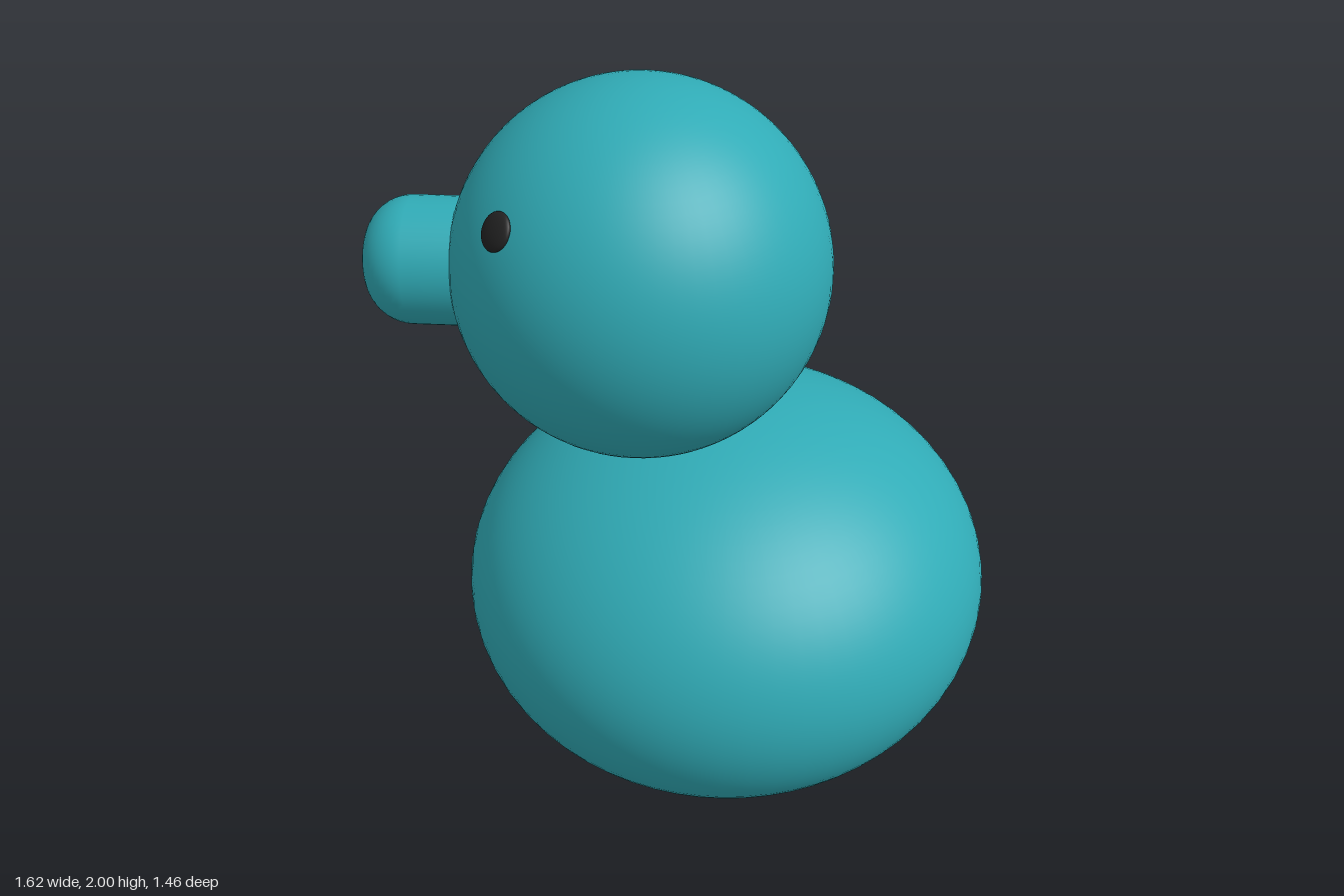
import * as THREE from 'three';

const teal = new THREE.MeshStandardMaterial({ color: 0x30abb6 });
const black = new THREE.MeshStandardMaterial({ color: 0x222222 });
const red = new THREE.MeshStandardMaterial({ color: 0xb02a22 });

function addPart(parent, name, geometry, material) {
  const mesh = new THREE.Mesh(geometry, material);
  mesh.name = name;
  parent.add(mesh);
  return mesh;
}

export function createModel() {
  const model = new THREE.Group();
  model.name = 'duck';

  // Squashed round body
  const body = addPart(model, 'body', new THREE.SphereGeometry(0.73, 64, 48), teal);
  body.scale.y = 0.75;
  body.position.set(0.08, 0.5475, 0);

  // Head group, built facing +z and then turned to its right
  const headRadius = 0.485;
  const head = new THREE.Group();
  head.name = 'head';
  head.position.set(-0.13, 1.515, 0.075);
  head.rotation.y = THREE.MathUtils.degToRad(-70);
  model.add(head);
  addPart(head, 'skull', new THREE.SphereGeometry(headRadius, 64, 48), teal);

  // Beak: a cylinder with a rounded rim, open around the small tip
  const radius = 0.165, rim = 0.12, length = 0.7;
  const profile = [new THREE.Vector2(radius, 0.3)];
  for (let i = 0; i <= 12; i++) {
    const a = (i / 12) * Math.PI / 2;
    profile.push(new THREE.Vector2(radius - rim + rim * Math.cos(a), length - rim + rim * Math.sin(a)));
  }
  const beakGeometry = new THREE.LatheGeometry(profile, 48).rotateX(Math.PI / 2);
  addPart(head, 'beak', beakGeometry, teal);

  // Red disc closing the beak
  const tip = addPart(head, 'beakTip', new THREE.CircleGeometry(radius - rim, 32), red);
  tip.position.z = length;

  // Flattened eyes lying on the head, mirrored about the beak
  for (const side of [1, -1]) {
    const eye = addPart(head, side > 0 ? 'leftEye' : 'rightEye', new THREE.SphereGeometry(0.048, 24, 16), black);
    const normal = new THREE.Vector3(side * 0.296, 0.24, 0.299).normalize();
    eye.position.copy(normal).multiplyScalar(headRadius);
    eye.quaternion.setFromUnitVectors(new THREE.Vector3(0, 0, 1), normal);
    eye.scale.z = 0.35;
  }

  return model;
}
